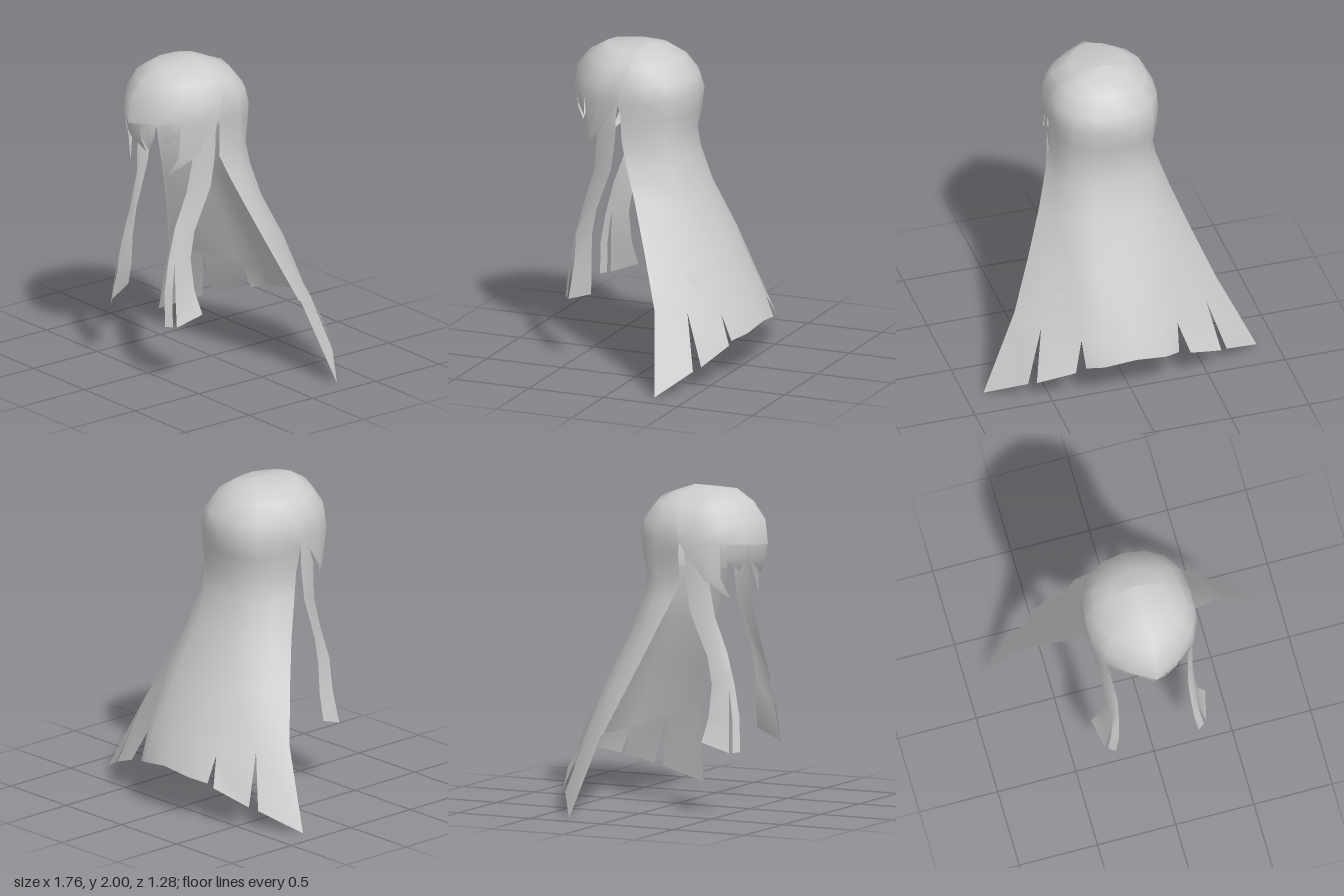
import * as THREE from 'three';
import { mergeVertices } from 'three/addons/utils/BufferGeometryUtils.js';

// Complete a half cross-section (+x edge first, centre last) to a full row from -x to +x
const mirrorRow = (half, dx = 0) => [
  ...half.map(([x, y, z]) => [dx - x, y, z]),
  ...half.slice(0, -1).reverse().map(([x, y, z]) => [dx + x, y, z]),
];

// Mirror a sheet about x = dx, reversing each row so that it keeps facing the same way
const mirrorSheet = (rows, dx = 0) => rows.map((r) => r.map(([x, y, z]) => [2 * dx - x, y, z]).reverse());

// One smooth surface from sheets, each a list of rows with equal point counts
function surface(name, sheets, material, flip = false) {
  const pos = [], index = [];
  for (const rows of sheets) {
    const base = pos.length / 3, n = rows[0].length;
    rows.forEach((row) => row.forEach((p) => pos.push(...p)));
    for (let r = 0; r < rows.length - 1; r++) {
      for (let c = 0; c < n - 1; c++) {
        const a = base + r * n + c, b = a + 1, d = a + n, e = d + 1;
        if (flip) index.push(a, d, b, b, d, e);
        else index.push(a, b, d, b, e, d);
      }
    }
  }
  let geo = new THREE.BufferGeometry();
  geo.setAttribute('position', new THREE.Float32BufferAttribute(pos, 3));
  geo.setIndex(index);
  geo = mergeVertices(geo, 1e-4);
  geo.computeVertexNormals();
  const mesh = new THREE.Mesh(geo, material);
  mesh.name = name;
  return mesh;
}

const mix = (p, q, f) => p.map((v, k) => v + (q[k] - v) * f);

// Point at fractional index t along a row
function along(row, t) {
  const i = Math.min(Math.floor(t), row.length - 2);
  return mix(row[i], row[i + 1], t - i);
}

// Hanging strand: brow section s..e, a full middle, then a point
function strand(row, s, e, tip) {
  const base = [s, (s + e) / 2, e].map((t) => along(row, t));
  const middle = base.map((p) => {
    const [x, , z] = mix(p, tip, 0.18);
    return [x, p[1] + (tip[1] - p[1]) * 0.5, z];
  });
  return [base, middle, [tip, tip, tip]];
}

export function createModel() {
  const group = new THREE.Group();
  group.name = 'longHair';
  const hair = new THREE.MeshStandardMaterial({ color: 0xcccccc, side: THREE.DoubleSide });
  hair.name = 'hairGrey';
  const dx = -0.015;
  const crown = Array(5).fill([0, 2, 0.13]);

  // Back of the head, then the long flaring cape
  const headRows = [
    crown,
    [[0.17, 1.967, 0.14], [0.16, 1.965, 0.09], [0.12, 1.962, 0.04], [0.06, 1.96, 0.02], [0, 1.96, 0.01]],
    [[0.27, 1.9, 0.15], [0.255, 1.9, 0.05], [0.19, 1.9, -0.03], [0.1, 1.91, -0.07], [0, 1.92, -0.09]],
    [[0.337, 1.8, 0.17], [0.32, 1.8, 0.03], [0.245, 1.8, -0.085], [0.13, 1.8, -0.15], [0, 1.81, -0.165]],
    [[0.345, 1.68, 0.2], [0.325, 1.69, 0.02], [0.255, 1.7, -0.105], [0.14, 1.71, -0.175], [0, 1.72, -0.2]],
    [[0.33, 1.61, 0.185], [0.315, 1.59, 0.01], [0.25, 1.58, -0.1], [0.14, 1.58, -0.16], [0, 1.58, -0.18]],
  ].map((r) => mirrorRow(r, dx));
  const capeRows = [
    [[0.31, 1.44, 0.18], [0.31, 1.44, 0.03], [0.24, 1.45, -0.08], [0.13, 1.46, -0.14], [0, 1.46, -0.155]],
    [[0.35, 1.3, 0.13], [0.33, 1.3, 0], [0.25, 1.3, -0.11], [0.14, 1.31, -0.16], [0, 1.32, -0.17]],
    [[0.42, 1.08, 0.04], [0.37, 1.08, -0.07], [0.27, 1.09, -0.18], [0.15, 1.1, -0.23], [0, 1.1, -0.245]],
    [[0.525, 0.8, -0.07], [0.45, 0.8, -0.2], [0.3, 0.8, -0.33], [0.17, 0.8, -0.385], [0, 0.8, -0.4]],
    [[0.65, 0.49, -0.19], [0.53, 0.46, -0.36], [0.31, 0.41, -0.49], [0.2, 0.45, -0.55], [0, 0.47, -0.565]],
  ].map((r) => mirrorRow(r));

  // Thin inner layer of the cape, ending just above the hem
  const lining = capeRows.map((row, r) => row.map(([x, y, z], i) => {
    const inset = i === 0 || i === row.length - 1 ? 0 : 0.02;
    const drop = r === capeRows.length - 1 && i > 2 && i < 6 ? 0.07 : 0;
    return [x * 0.97, y - drop, z + inset - drop / 2];
  }).reverse());

  // Split hem: a wide centre panel and two pointed panels on each side
  const top = capeRows[capeRows.length - 1];
  const centrePanel = [top.slice(2, 7), mirrorRow([[0.3, 0.24, -0.555], [0.2, 0.27, -0.62], [0, 0.3, -0.64]])];
  const innerPanel = [top.slice(1, 3), [[-0.595, 0.14, -0.48], [-0.37, 0.23, -0.57]]];
  const outerPanel = [top.slice(0, 2), [[-0.88, 0, -0.29], [-0.64, 0.12, -0.445]]];
  group.add(surface('backHair', [
    [...headRows, ...capeRows], centrePanel,
    innerPanel, mirrorSheet(innerPanel), outerPanel, mirrorSheet(outerPanel),
  ], hair));
  group.add(surface('backHairLining', [lining], hair));

  // Front of the cap, from the crown seam down to the brow
  const frontRows = [
    crown,
    [[0.17, 1.967, 0.14], [0.18, 1.967, 0.25], [0.14, 1.97, 0.33], [0.08, 1.98, 0.38], [0, 1.98, 0.41]],
    [[0.27, 1.9, 0.15], [0.28, 1.9, 0.28], [0.23, 1.9, 0.39], [0.13, 1.9, 0.47], [0, 1.91, 0.53]],
    [[0.337, 1.8, 0.17], [0.33, 1.8, 0.31], [0.27, 1.79, 0.44], [0.15, 1.79, 0.54], [0, 1.8, 0.62]],
    [[0.345, 1.68, 0.2], [0.335, 1.68, 0.33], [0.28, 1.68, 0.45], [0.16, 1.67, 0.55], [0, 1.66, 0.637]],
  ].map((r) => mirrorRow(r, dx));
  const brow = frontRows[frontRows.length - 1];

  // Fringe strands: start and end along the brow, then the tip
  const fringe = [
    [2, 3.2, [-0.13, 1.5, 0.5]],
    [3.2, 4.4, [0.05, 1.47, 0.55]],
    [4.4, 5, [0.07, 1.49, 0.55]],
    [5, 6, [0.18, 1.54, 0.49]],
  ].map(([s, e, tip]) => strand(brow, s, e, tip));

  // Longer strands over the temples
  const temple = [
    brow.slice(0, 3),
    [[-0.33, 1.46, 0.355], [-0.31, 1.46, 0.4], [-0.265, 1.46, 0.44]],
    Array(3).fill([-0.2, 1.33, 0.475]),
  ];
  group.add(surface('frontHair', [frontRows, ...fringe, temple, mirrorSheet(temple, dx)], hair, true));

  // Side locks: narrow curved ribbons that split in two near the end
  const lock = [
    [[-0.315, 1.69, 0.2], [-0.315, 1.69, 0.23], [-0.315, 1.69, 0.25]],
    [[-0.315, 1.6, 0.215], [-0.315, 1.6, 0.26], [-0.305, 1.6, 0.29]],
    [[-0.315, 1.46, 0.22], [-0.305, 1.46, 0.3], [-0.275, 1.46, 0.36]],
    [[-0.31, 1.25, 0.25], [-0.285, 1.24, 0.33], [-0.245, 1.22, 0.39]],
    [[-0.285, 0.97, 0.36], [-0.265, 0.98, 0.42], [-0.225, 1, 0.465]],
    [[-0.285, 0.8, 0.39], [-0.27, 0.8, 0.5], [-0.23, 0.8, 0.52]],
  ];
  const split = lock[lock.length - 1];
  const rearTip = [split.slice(0, 2),
    [[-0.31, 0.6, 0.38], [-0.285, 0.6, 0.51]], [[-0.365, 0.45, 0.36], [-0.325, 0.39, 0.53]]];
  const frontTip = [split.slice(1, 3),
    [[-0.28, 0.6, 0.53], [-0.24, 0.6, 0.56]], [[-0.305, 0.39, 0.545], [-0.265, 0.39, 0.575]]];
  const lockSheets = [lock, rearTip, frontTip];
  group.add(surface('rightSideLock', lockSheets, hair, true));
  group.add(surface('leftSideLock', lockSheets.map((s) => mirrorSheet(s)), hair, true));

  return group;
}
